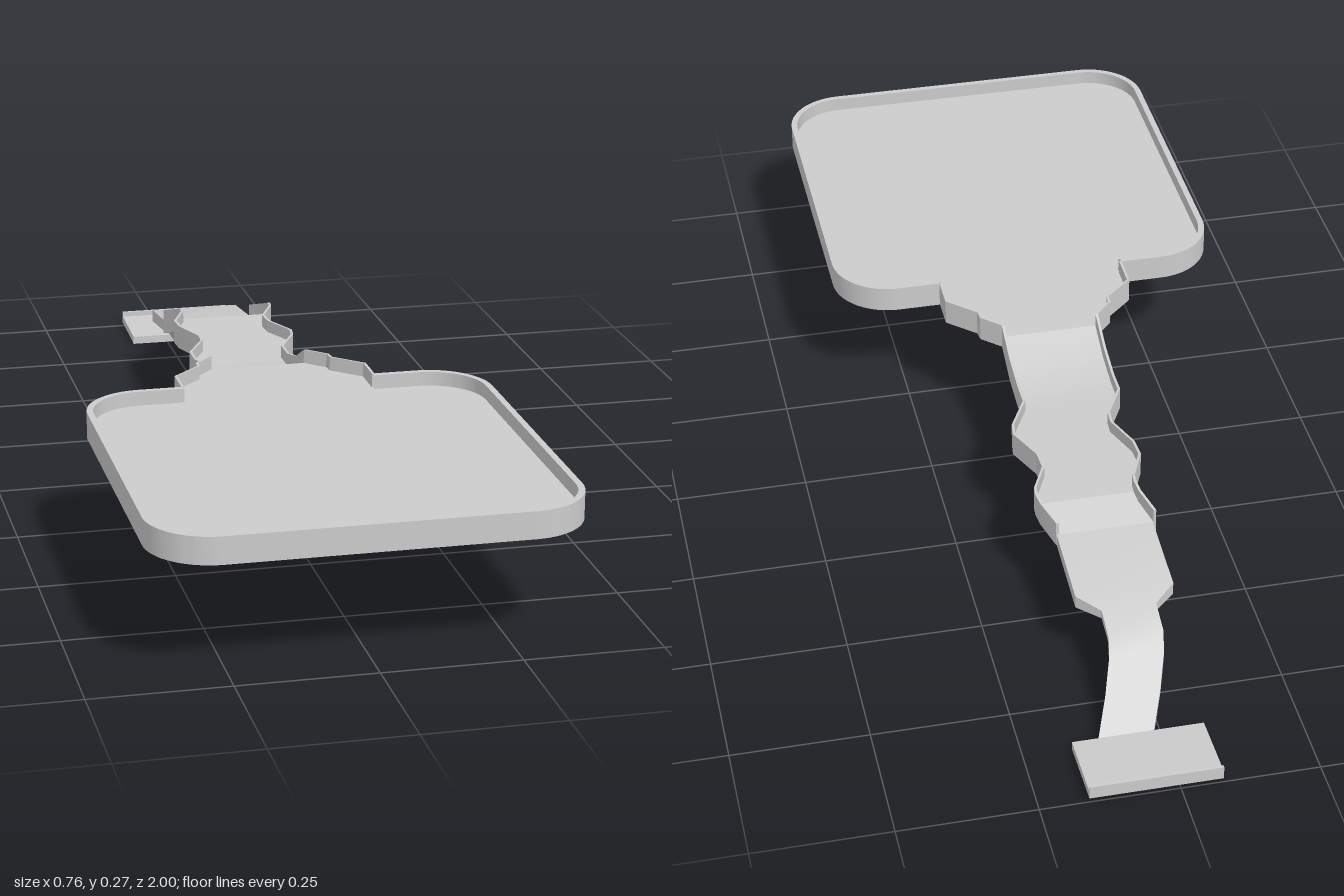
import * as THREE from 'three';
import { toCreasedNormals } from 'three/addons/utils/BufferGeometryUtils.js';

const material = new THREE.MeshStandardMaterial({ color: 0xcccccc });

function addMesh(group, name, geometry) {
  const mesh = new THREE.Mesh(toCreasedNormals(geometry, 0.35), material);
  mesh.name = name;
  group.add(mesh);
}

// Lofts rectangular sections [z, left x, right x, bottom y, top y], ordered front to back.
function strip(sections) {
  const position = [], index = [];
  sections.forEach(([z, x0, x1, y0, y1], s) => {
    position.push(x0, y0, z, x1, y0, z, x1, y1, z, x0, y1, z);
    if (s === 0) return;
    const f = (s - 1) * 4, b = s * 4;
    for (let i = 0; i < 4; i++) {
      const j = (i + 1) % 4;
      index.push(f + i, b + i, f + j, f + j, b + i, b + j);
    }
  });
  const e = (sections.length - 1) * 4;
  index.push(0, 1, 2, 0, 2, 3, e, e + 2, e + 1, e, e + 3, e + 2);
  const geometry = new THREE.BufferGeometry();
  geometry.setAttribute('position', new THREE.Float32BufferAttribute(position, 3));
  geometry.setIndex(index);
  return geometry.toNonIndexed();
}

// Rounded tray outline in (x, z), running from one side of the rear gap to the other.
function outline(inset, gap) {
  const w = 0.381 - inset, back = 0.235 + inset, front = 1 - inset, r = 0.115 - inset;
  const path = new THREE.Path();
  path.moveTo(gap, back);
  path.lineTo(w - r, back);
  path.absarc(w - r, back + r, r, -Math.PI / 2, 0);
  path.absarc(w - r, front - r, r, 0, Math.PI / 2);
  path.absarc(-w + r, front - r, r, Math.PI / 2, Math.PI);
  path.absarc(-w + r, back + r, r, Math.PI, Math.PI * 1.5);
  path.lineTo(-gap, back);
  return path.getPoints(8);
}

// Extrudes an (x, z) outline between two heights.
function slab(points, y0, y1) {
  const geometry = new THREE.ExtrudeGeometry(new THREE.Shape(points), { depth: y1 - y0, bevelEnabled: false });
  return geometry.rotateX(Math.PI / 2).translate(0, y1, 0);
}

export function createModel() {
  const group = new THREE.Group();
  const floor = 0.023, gap = 0.185;

  // Shallow tray with a raised rim, open towards the neck
  addMesh(group, 'trayFloor', slab(outline(0.002, gap), 0.217, 0.217 + floor));
  const rim = [...outline(0, gap), ...outline(0.012, gap - 0.004).reverse()];
  addMesh(group, 'trayRim', slab(rim, 0.217, 0.267));

  // Neck and wavy channel: z, left x, right x, bottom y, wall height
  const channel = [
    [0.237, -0.185, 0.185, 0.217, 0.05],
    [0.17, -0.185, 0.185, 0.217, 0.05],
    [0.12, -0.132, 0.132, 0.217, 0.05],
    [0.1, -0.13, 0.13, 0.217, 0.05],
    [0.065, -0.097, 0.094, 0.217, 0.05],
    [0, -0.098, 0.093, 0.184, 0.049],
    [-0.07, -0.098, 0.092, 0.17, 0.047],
    [-0.12, -0.098, 0.092, 0.17, 0.047],
    [-0.19, -0.062, 0.128, 0.17, 0.047],
    [-0.22, -0.06, 0.132, 0.17, 0.047],
    [-0.29, -0.086, 0.102, 0.17, 0.047],
    [-0.33, -0.088, 0.1, 0.17, 0.047],
    [-0.39, -0.062, 0.128, 0.17, 0.047],
    [-0.41, -0.06, 0.13, 0.17, 0.047],
    [-0.43, -0.064, 0.125, 0.162, 0.048],
    [-0.475, -0.082, 0.105, 0.145, 0.05],
  ];
  addMesh(group, 'channelFloor', strip(channel.map(([z, l, r, y]) => [z, l, r, y, y + floor])));
  const t = 0.005;
  addMesh(group, 'rightWall', strip(channel.map(([z, l, , y, h]) => [z, l, l + t, y, y + h])));
  addMesh(group, 'leftWall', strip(channel.map(([z, , r, y, h]) => [z, r - t, r, y, y + h])));

  // Flat tongue that narrows and thins behind the channel
  addMesh(group, 'tongue', strip([
    [-0.475, -0.076, 0.104, 0.145, 0.168],
    [-0.63, -0.076, 0.104, 0.123, 0.148],
    [-0.665, -0.036, 0.064, 0.119, 0.136],
  ]));

  // Thin ribbon curving sideways and down to the end plate
  addMesh(group, 'ribbon', strip([
    [-0.665, -0.036, 0.064, 0.119, 0.136],
    [-0.72, -0.036, 0.064, 0.107, 0.118],
    [-0.75, -0.03, 0.07, 0.084, 0.095],
    [-0.8, -0.012, 0.088, 0.045, 0.056],
    [-0.865, 0.016, 0.116, 0, 0.01],
  ]));

  // End plate with a small upright lip
  addMesh(group, 'endPlate', strip([
    [-0.862, -0.076, 0.162, 0, 0.016],
    [-1, -0.076, 0.162, 0.008, 0.023],
  ]));
  addMesh(group, 'endLip', strip([
    [-0.994, -0.076, 0.162, 0.015, 0.033],
    [-1, -0.076, 0.162, 0.015, 0.033],
  ]));
  return group;
}
